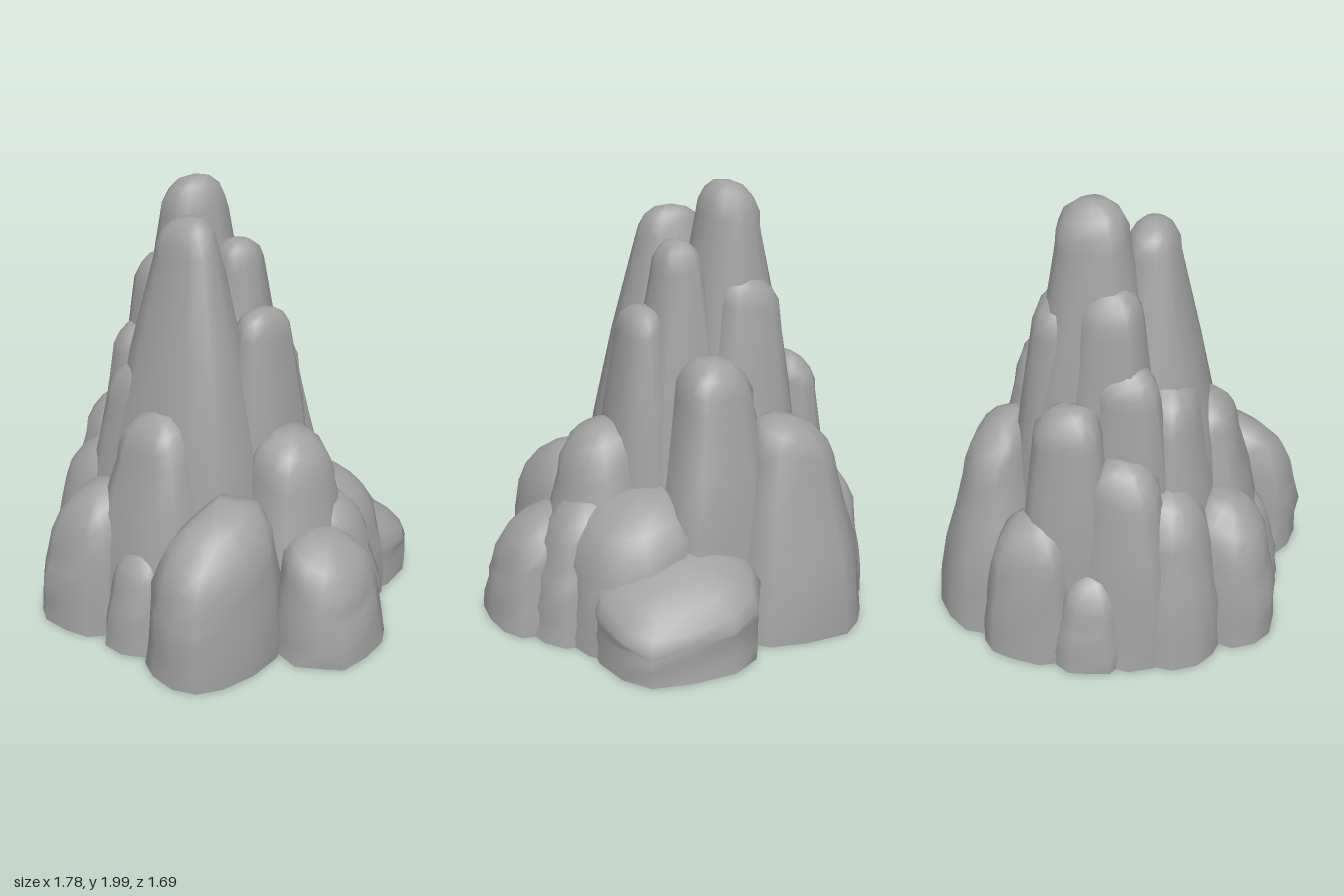
import * as THREE from 'three';

// Small seeded random so the rock always comes out the same
function makeRandom(seed) {
  let s = seed * 7919 + 17;
  return () => {
    s = (s * 16807) % 2147483647;
    return s / 2147483647;
  };
}

const SIDES = 13;
const WALL_STEPS = 4; // from the ground to the shoulder
const CROWN_STEPS = 4; // over the rounded top

// One rock column around (x, z). Its half widths rx, rz at the shoulder grow by
// flare towards the ground, and its top slopes down away from the middle of the model.
function rockGeometry(height, x, z, rx, rz, flare, seed) {
  const random = makeRandom(seed);
  for (let i = 0; i < 5; i++) random();
  const ridges = Array.from({ length: SIDES }, () => 0.93 + random() * 0.13);
  const round = Math.min(Math.min(rx, rz) * 1.3, height * 0.35);

  // Levels: height, blend from base to shoulder, shrink over the crown
  const levels = [];
  for (let i = 0; i <= WALL_STEPS; i++) {
    const t = i / WALL_STEPS;
    levels.push({ y: t * (height - round), t, shrink: 1 });
  }
  for (let i = 1; i < CROWN_STEPS; i++) {
    const a = (i / CROWN_STEPS) * (Math.PI / 2);
    levels.push({ y: height - round + round * Math.sin(a), t: 1, shrink: Math.cos(a) ** 0.85 });
  }

  const points = [];
  const index = [];
  for (const { y, t, shrink } of levels) {
    const spread = flare * (1 - t ** 1.5);
    for (let j = 0; j < SIDES; j++) {
      const a = (j / SIDES) * Math.PI * 2;
      const c = Math.cos(a);
      const s = Math.sin(a);
      const r = shrink * ridges[j] * (0.96 + random() * 0.08);
      const dx = Math.sign(c) * Math.abs(c) ** 0.82 * (rx + spread) * r;
      const dz = Math.sign(s) * Math.abs(s) ** 0.82 * (rz + spread) * r;
      const lift = -0.7 * t ** 3 * (x * dx + z * dz);
      points.push(x + dx, y + lift, z + dz);
    }
  }
  for (let i = 0; i < levels.length - 1; i++) {
    for (let j = 0; j < SIDES; j++) {
      const a = i * SIDES + j;
      const b = i * SIDES + ((j + 1) % SIDES);
      index.push(a, a + SIDES, b, b, a + SIDES, b + SIDES);
    }
  }

  // Close the top
  const last = (levels.length - 1) * SIDES;
  const top = points.length / 3;
  points.push(x, height, z);
  for (let j = 0; j < SIDES; j++) index.push(top, last + ((j + 1) % SIDES), last + j);

  // Flat underside with its own corners, for a sharp edge
  const under = points.length / 3;
  points.push(...points.slice(0, SIDES * 3), x, 0, z);
  for (let j = 0; j < SIDES; j++) index.push(under + SIDES, under + j, under + ((j + 1) % SIDES));

  const geometry = new THREE.BufferGeometry();
  geometry.setAttribute('position', new THREE.Float32BufferAttribute(points, 3));
  geometry.setIndex(index);
  geometry.computeVertexNormals();
  return geometry;
}

// name: height, x, z, half width in x, half width in z, flare
const ROCKS = {
  // Tall central spires
  mainSpire: [1.99, -0.26, -0.04, 0.14, 0.16, 0.24],
  frontSpire: [1.86, -0.08, 0.19, 0.16, 0.12, 0.3],
  middleSpire: [1.74, 0, -0.05, 0.11, 0.12, 0.2],
  leftSpire: [1.45, 0.17, -0.03, 0.09, 0.15, 0.15],
  rightSpire: [1.65, -0.36, 0.07, 0.13, 0.15, 0.15],
  rightShoulder: [1.33, -0.43, 0.15, 0.11, 0.15, 0.12],
  backSpire: [1.58, -0.3, -0.18, 0.16, 0.11, 0.16],
  frontShoulder: [1.2, -0.27, 0.32, 0.17, 0.13, 0.15],
  // Middle ring
  backMiddleRock: [1.25, -0.07, -0.31, 0.17, 0.16, 0.15],
  rightMiddleRock: [1.17, -0.59, -0.06, 0.11, 0.15, 0.1],
  backRightRock: [0.97, -0.4, -0.44, 0.21, 0.15, 0.14],
  rightFrontMiddleRock: [0.94, -0.58, 0.18, 0.13, 0.16, 0.1],
  frontMiddleRock: [1.03, -0.04, 0.45, 0.18, 0.14, 0.15],
  leftMiddleRock: [0.93, 0.38, -0.01, 0.17, 0.2, 0.12],
  // Low outer ring
  leftLowRock: [0.51, 0.66, 0.07, 0.18, 0.22, 0.04],
  leftBackLowRock: [0.63, 0.5, -0.12, 0.18, 0.18, 0.07],
  frontLeftRock: [0.68, 0.39, 0.52, 0.2, 0.3, 0.03],
  frontLowRock: [0.47, 0.04, 0.62, 0.13, 0.13, 0.04],
  frontRightRock: [0.65, -0.3, 0.61, 0.2, 0.19, 0.05],
  rightFrontRock: [0.77, -0.5, 0.37, 0.18, 0.18, 0.08],
  rightLowRock: [0.44, -0.72, 0.07, 0.13, 0.13, 0.04],
  rightBackLowRock: [0.66, -0.7, -0.2, 0.14, 0.18, 0.04],
  backLowRock: [0.43, 0.22, -0.52, 0.36, 0.34, 0],
  backLeftRock: [0.66, 0.3, -0.28, 0.3, 0.28, 0.04],
};

export function createModel() {
  const group = new THREE.Group();
  group.name = 'rockSpire';
  const material = new THREE.MeshStandardMaterial({ color: 0xa0a0a0 });
  Object.entries(ROCKS).forEach(([name, sizes], i) => {
    const mesh = new THREE.Mesh(rockGeometry(...sizes, i + 1), material);
    mesh.name = name;
    group.add(mesh);
  });
  return group;
}
